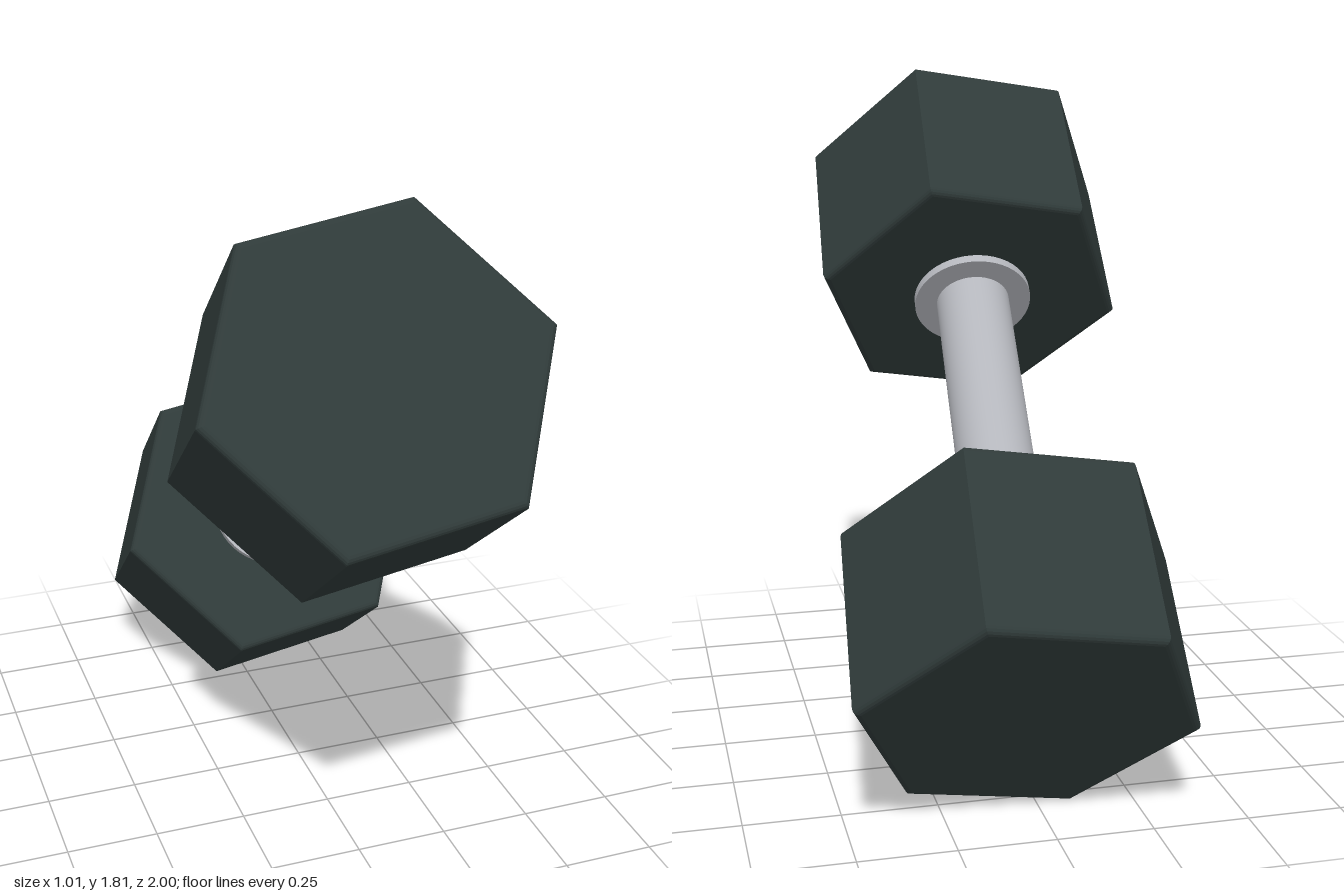
import * as THREE from 'three';

export function createModel() {
  const rubber = new THREE.MeshStandardMaterial({ color: 0x2f3a39 });
  rubber.name = 'dark rubber';
  const steel = new THREE.MeshStandardMaterial({ color: 0xb4b6bc });
  steel.name = 'steel';

  const outer = 0.972, inner = 0.442; // head faces, measured along the bar
  const radius = 0.44, bevel = 0.018;

  // Hexagonal head with softly bevelled rims, extruded along +z
  const corners = [];
  for (let i = 0; i < 6; i++) {
    const a = (i * Math.PI) / 3;
    corners.push(new THREE.Vector2(Math.cos(a), Math.sin(a)).multiplyScalar(radius));
  }
  const headGeometry = new THREE.ExtrudeGeometry(new THREE.Shape(corners), {
    depth: outer - inner - 2 * bevel,
    bevelThickness: bevel,
    bevelSize: bevel,
    bevelOffset: -bevel,
    bevelSegments: 4,
  });
  headGeometry.translate(0, 0, inner + bevel);

  // Thin collar where the bar enters a head
  const collarGeometry = new THREE.CylinderGeometry(0.168, 0.168, 0.05, 48);
  collarGeometry.rotateX(Math.PI / 2);
  collarGeometry.translate(0, 0, inner);

  const dumbbell = new THREE.Group();
  dumbbell.name = 'dumbbell';

  const add = (name, geometry, material, turn = 0) => {
    const mesh = new THREE.Mesh(geometry, material);
    mesh.name = name;
    mesh.rotation.y = turn;
    dumbbell.add(mesh);
  };

  // Bar along z
  const barGeometry = new THREE.CylinderGeometry(0.105, 0.105, 2 * inner + 0.04, 48, 1, true);
  barGeometry.rotateX(Math.PI / 2);
  add('handle', barGeometry, steel);

  // Matching ends
  for (const [side, turn] of [['upper', 0], ['lower', Math.PI]]) {
    add(side + 'Head', headGeometry, rubber, turn);
    add(side + 'Collar', collarGeometry, steel, turn);
  }

  // Tilt: z follows the bar, x points to a hexagon corner
  const zAxis = new THREE.Vector3(-0.0755, 0.597, 0.798).normalize();
  const xAxis = new THREE.Vector3(0.43, 0.067, -0.008);
  xAxis.addScaledVector(zAxis, -xAxis.dot(zAxis)).normalize();
  const yAxis = new THREE.Vector3().crossVectors(zAxis, xAxis);
  dumbbell.quaternion.setFromRotationMatrix(new THREE.Matrix4().makeBasis(xAxis, yAxis, zAxis));

  // Stand the lowest corner on the ground
  const model = new THREE.Group();
  model.name = 'hexDumbbell';
  model.add(dumbbell);
  model.updateMatrixWorld(true);
  const box = new THREE.Box3().setFromObject(model, true);
  dumbbell.position.y = -box.min.y;
  return model;
}
